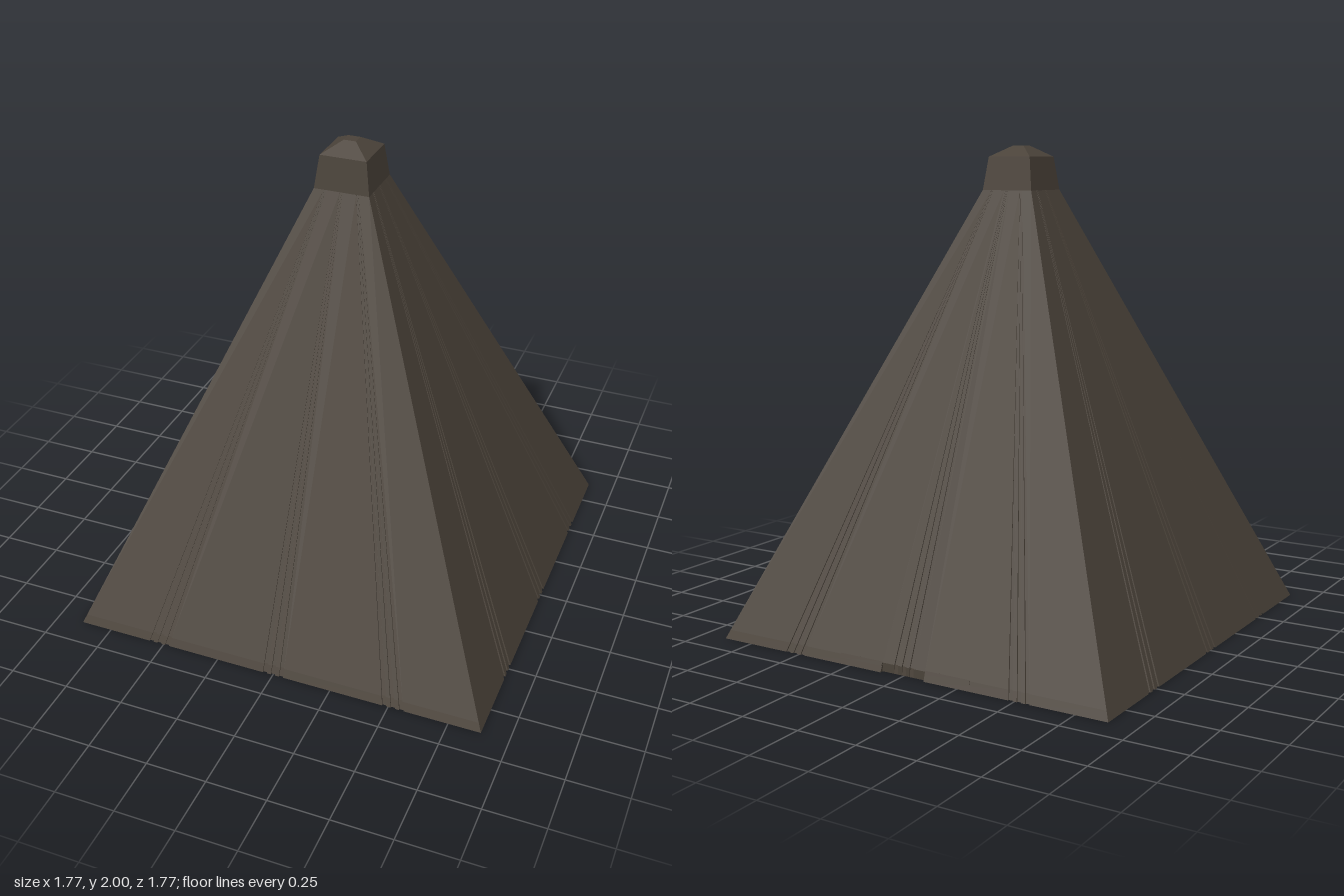
import * as THREE from 'three';

const BASE = 0.885, NECK = 0.115, NECK_Y = 1.82;
const NOTCH_Y = 0.035, NOTCH_HALF = 0.1;
const halfAt = (y) => BASE - (BASE - NECK) * y / NECK_Y;

// One side of the square outline, as [position along side, inward depth] at the base
function sideProfile(isBack, notch) {
  const pts = [[-BASE, 0]];
  const depth = 0.006, w = 0.009;
  for (const bundle of [-0.52, 0, 0.52]) {
    const inNotch = isBack && bundle === 0;
    const outer = inNotch ? notch : 0;
    if (inNotch) pts.push([-NOTCH_HALF, 0], [-NOTCH_HALF, outer]);
    for (const offset of [-0.036, 0, 0.036]) {
      const c = bundle + offset, d = Math.max(depth, outer);
      pts.push([c - w, outer], [c - w, d], [c + w, d], [c + w, outer]);
    }
    if (inNotch) pts.push([NOTCH_HALF, outer], [NOTCH_HALF, 0]);
  }
  return pts;
}

// Full grooved outline at height y, counter-clockwise seen from above
function outline(y, notch) {
  const ring = [], half = halfAt(y), s = half / BASE;
  for (let side = 0; side < 4; side++) {
    const a = side * Math.PI / 2;
    for (const [u, d] of sideProfile(side === 2, notch)) {
      const p = new THREE.Vector3(u * s, y, half - d * s);
      ring.push(p.applyAxisAngle(new THREE.Vector3(0, 1, 0), a));
    }
  }
  return ring;
}

function bodyGeometry() {
  const rings = [
    outline(0, BASE - halfAt(NOTCH_Y)),
    outline(NOTCH_Y, 0),
    outline(NECK_Y, 0),
  ];
  const positions = [];
  const tri = (a, b, c) => {
    if (new THREE.Triangle(a, b, c).getArea() < 1e-9) return;
    for (const p of [a, b, c]) positions.push(p.x, p.y, p.z);
  };
  // Sloping grooved sides
  for (let r = 0; r < rings.length - 1; r++) {
    const lo = rings[r], hi = rings[r + 1];
    for (let i = 0; i < lo.length; i++) {
      const j = (i + 1) % lo.length;
      tri(lo[i], lo[j], hi[j]);
      tri(lo[i], hi[j], hi[i]);
    }
  }
  // Underside
  const flat = rings[0].map((p) => new THREE.Vector2(p.x, -p.z));
  for (const [a, b, c] of THREE.ShapeUtils.triangulateShape(flat, [])) {
    tri(rings[0][a], rings[0][c], rings[0][b]);
  }
  const geo = new THREE.BufferGeometry();
  geo.setAttribute('position', new THREE.Float32BufferAttribute(positions, 3));
  geo.computeVertexNormals();
  return geo;
}

// Square frustum standing on y0
function frustum(bottom, top, y0, y1) {
  const r = Math.SQRT2;
  const geo = new THREE.CylinderGeometry(top * r, bottom * r, y1 - y0, 4);
  geo.rotateY(Math.PI / 4);
  geo.translate(0, (y0 + y1) / 2, 0);
  return geo;
}

export function createModel() {
  const group = new THREE.Group();
  const stone = new THREE.MeshStandardMaterial({ color: 0x4a4239 });
  stone.name = 'dark brown';
  stone.flatShading = true;

  const add = (name, geo) => {
    const mesh = new THREE.Mesh(geo, stone);
    mesh.name = name;
    group.add(mesh);
    return mesh;
  };

  add('groovedPyramid', bodyGeometry());
  add('capNeck', frustum(NECK, 0.097, NECK_Y, 1.955));
  add('capTop', frustum(0.097, 0.025, 1.955, 2));

  // Thin ledges either side of the notch at the back
  const slope = Math.atan((BASE - NECK) / NECK_Y);
  for (const side of [-1, 1]) {
    const ledge = add(side > 0 ? 'leftLedge' : 'rightLedge', new THREE.BoxGeometry(0.2, 0.018, 0.004));
    ledge.position.set(side * 0.2, 0.03, -halfAt(0.03));
    ledge.rotation.x = slope;
  }
  return group;
}
